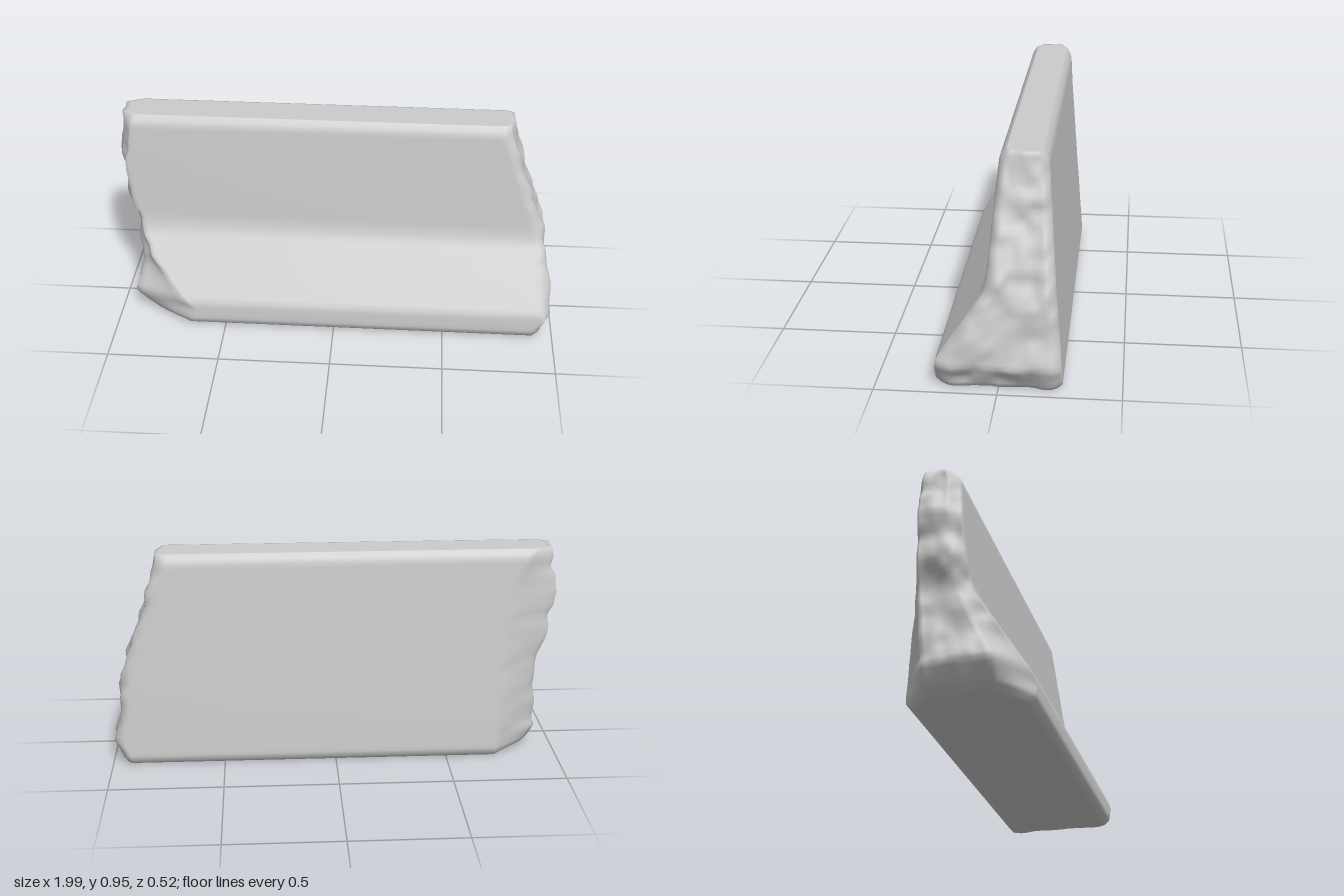
import * as THREE from 'three';
import { mergeVertices } from 'three/addons/utils/BufferGeometryUtils.js';

// Piecewise-linear lookup through [y, value] pairs
function at(points, y) {
  for (let i = 1; i < points.length; i++) {
    const [y0, v0] = points[i - 1], [y1, v1] = points[i];
    if (y <= y1) return v0 + (v1 - v0) * (y - y0) / (y1 - y0);
  }
  return points[points.length - 1][1];
}

// Smooth seeded value noise in 2D, range -1..1
function hash(i, j, seed) {
  const s = Math.sin(i * 127.1 + j * 311.7 + seed * 74.7) * 43758.5453;
  return (s - Math.floor(s)) * 2 - 1;
}
function noise(x, y, seed) {
  const i = Math.floor(x), j = Math.floor(y);
  const f = THREE.MathUtils.smoothstep(x - i, 0, 1), g = THREE.MathUtils.smoothstep(y - j, 0, 1);
  const { lerp } = THREE.MathUtils;
  return lerp(lerp(hash(i, j, seed), hash(i + 1, j, seed), f),
    lerp(hash(i, j + 1, seed), hash(i + 1, j + 1, seed), f), g);
}
const rough = (z, y, seed) =>
  0.014 * noise(z * 9, y * 9, seed) + 0.009 * noise(z * 22, y * 22, seed + 1);

const HEIGHT = 0.95;
// Cross-section: z of the sloped front and of the back, by height
const frontZ = [[0, 0.235], [0.025, 0.26], [0.12, 0.255], [0.4, 0.067], [0.45, 0.053], [0.92, 0.012], [0.95, -0.012]];
const backZ = [[0, -0.24], [0.025, -0.262], [0.92, -0.186], [0.95, -0.163]];

// Broken ends: x in the middle of the thickness and along the outer edges, by height
const rightMid = [[0, 0.94], [0.05, 0.96], [0.1, 0.99], [0.2, 0.98], [0.35, 0.955], [0.5, 0.915], [0.65, 0.865], [0.8, 0.81], [0.95, 0.77]];
const leftMid = [[0, -0.82], [0.02, -0.86], [0.1, -0.92], [0.3, -0.9], [0.42, -0.91], [0.55, -0.95], [0.65, -0.95], [0.75, -0.99], [0.85, -0.96], [0.95, -0.95]];
const leftFront = [[0, -0.66], [0.09, -0.65], [0.14, -0.71], [0.3, -0.85], [0.4, -0.89], [0.6, -0.93], [0.75, -0.96], [0.95, -0.9]];
const leftBack = [[0, -0.72], [0.4, -0.74], [0.8, -0.8], [0.95, -0.88]];

function rightEnd(u, z, y) {
  const corner = Math.max(0, Math.abs(u) - 0.7) / 0.3;
  return at(rightMid, y) - 0.035 * corner * corner + rough(z, y, 3);
}
function leftEnd(u, z, y) {
  const corner = Math.max(0, Math.abs(u) - 0.55) / 0.45;
  const edge = at(u > 0 ? leftFront : leftBack, y);
  return THREE.MathUtils.lerp(at(leftMid, y), edge, corner) + rough(z, y, 11);
}

export function createModel() {
  const group = new THREE.Group();
  group.name = 'brokenBarrier';

  // Subdivided box, reshaped to the cross-section and stretched between the two broken ends
  let slab = new THREE.BoxGeometry(2, 1, 2, 14, 46, 26);
  slab.deleteAttribute('uv');
  slab.deleteAttribute('normal');
  slab = mergeVertices(slab, 1e-4);
  const p = slab.attributes.position;
  for (let i = 0; i < p.count; i++) {
    const s = p.getX(i), u = p.getZ(i);
    const y = (p.getY(i) + 0.5) * HEIGHT;
    const z = THREE.MathUtils.lerp(at(backZ, y), at(frontZ, y), (u + 1) / 2);
    // Rings crowd towards the ends so the long faces stay flat
    const t = (1 + Math.sign(s) * (1 - (1 - Math.abs(s)) ** 2)) / 2;
    const x = THREE.MathUtils.lerp(leftEnd(u, z, y), rightEnd(u, z, y), t);
    p.setXYZ(i, THREE.MathUtils.clamp(x, -1, 1), y, z);
  }
  slab.computeVertexNormals();

  const mesh = new THREE.Mesh(slab, new THREE.MeshStandardMaterial({ color: 0xcccccc }));
  mesh.name = 'concreteSlab';
  group.add(mesh);
  return group;
}
